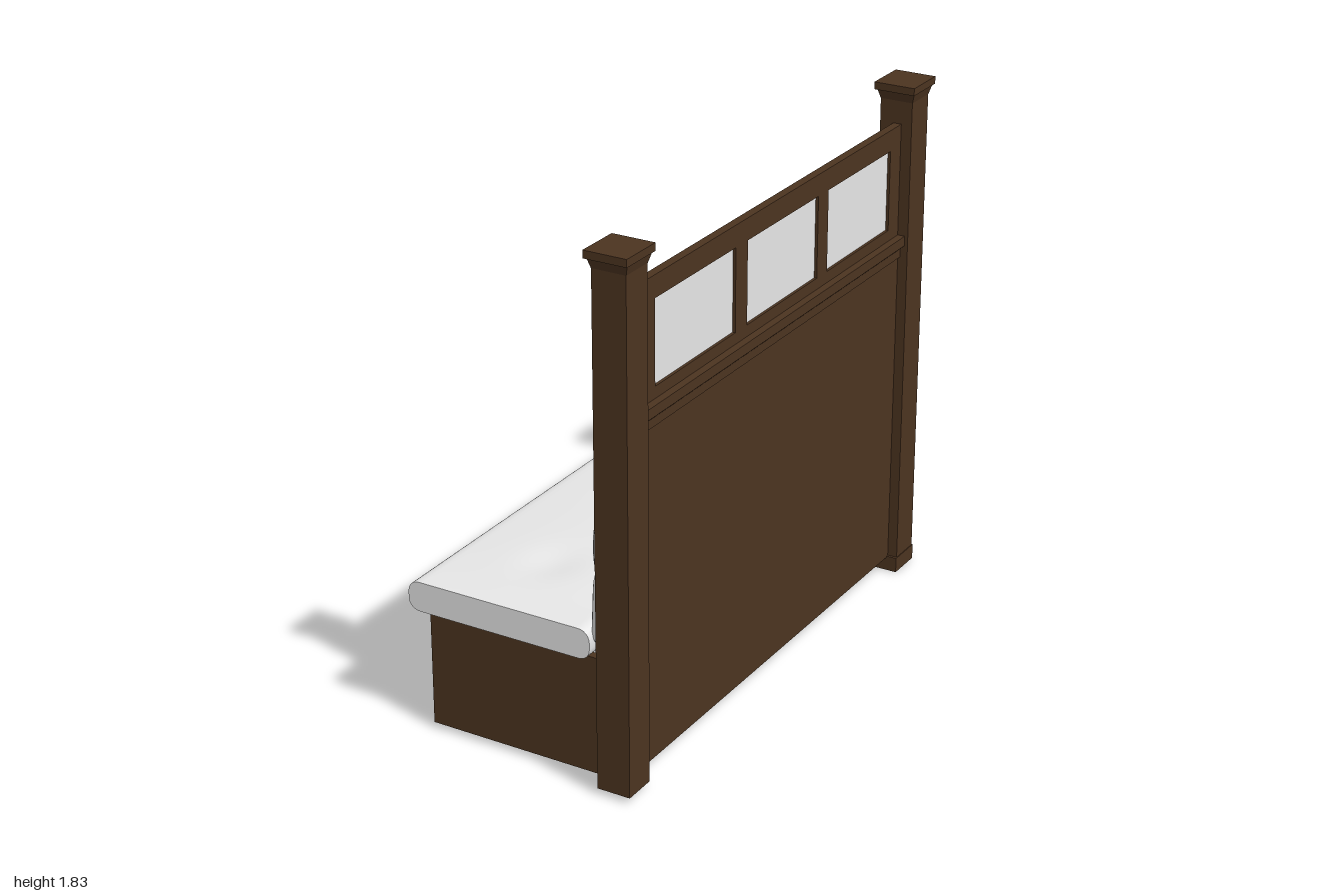
import * as THREE from 'three';
import { mergeVertices } from 'three/addons/utils/BufferGeometryUtils.js';

const wood = new THREE.MeshStandardMaterial({ color: 0x4c3420 });
wood.name = 'dark wood';
const fabric = new THREE.MeshStandardMaterial({ color: 0xe8e8e8, side: THREE.DoubleSide });
fabric.name = 'pale upholstery';
const glass = new THREE.MeshStandardMaterial({ color: 0xe8e8e8, side: THREE.DoubleSide });
glass.name = 'frosted glass';

export function createModel() {
  const model = new THREE.Group();
  model.name = 'boothBench';

  const add = (name, geo, mat = wood) => {
    const mesh = new THREE.Mesh(geo, mat);
    mesh.name = name;
    model.add(mesh);
    return mesh;
  };
  // Box given by its limits on each axis
  const box = (name, x0, x1, y0, y1, z0, z1, mat) =>
    add(name, new THREE.BoxGeometry(x1 - x0, y1 - y0, z1 - z0), mat)
      .position.set((x0 + x1) / 2, (y0 + y1) / 2, (z0 + z1) / 2);
  const extrude = (shape, depth) => new THREE.ExtrudeGeometry(shape, { depth, bevelEnabled: false });
  const rect = (path, a, b, c, d) => {
    path.moveTo(a, c); path.lineTo(b, c); path.lineTo(b, d); path.lineTo(a, d); path.closePath();
    return path;
  };

  // Posts with flared square caps
  const flare = new THREE.CylinderGeometry(0.07 * Math.SQRT2, 0.06 * Math.SQRT2, 0.035, 4, 1)
    .rotateY(Math.PI / 4).toNonIndexed();
  flare.computeVertexNormals();
  for (const s of [-1, 1]) {
    box('post', 0.305, 0.424, s < 0 ? 0 : 0.02, 1.79, s * 0.92 - 0.06, s * 0.92 + 0.06);
    add('capFlare', flare).position.set(0.3645, 1.788, s * 0.92);
    box('capTop', 0.289, 0.439, 1.804, 1.83, s * 0.92 - 0.08, s * 0.92 + 0.08);
  }
  box('postPlinth', 0.298, 0.427, 0, 0.055, -0.983, -0.85);

  // Tall back panel with a coved ledge moulding above it
  box('backPanel', 0.315, 0.388, 0.05, 1.215, -0.865, 0.865);
  const ledge = new THREE.Shape([
    [0.31, 1.21], [0.396, 1.21], [0.396, 1.24], [0.412, 1.255], [0.412, 1.29], [0.31, 1.29],
  ].map(([x, y]) => new THREE.Vector2(x, y)));
  add('ledge', extrude(ledge, 1.73)).position.z = -0.865;

  // Window frame with three panes, outlined in (z, y)
  const panes = [[0.27, 0.755], [-0.27, 0.195], [-0.785, -0.34]];
  const frame = rect(new THREE.Shape(), -0.865, 0.845, 1.29, 1.69);
  for (const [a, b] of panes) frame.holes.push(rect(new THREE.Path(), a, b, 1.33, 1.615));
  add('windowFrame', extrude(frame, 0.03).rotateY(-Math.PI / 2)).position.x = 0.385;
  for (const [a, b] of panes) box('windowPane', 0.369, 0.375, 1.325, 1.62, a - 0.005, b + 0.005, glass);

  // Plain end panel
  box('plainEndPanel', -0.37, 0.31, 0.02, 0.435, 0.875, 0.905);

  // Panelled end with plinth, top rail and raised field
  box('panelledEnd', -0.37, 0.31, 0.02, 0.45, -0.947, -0.912);
  box('endPlinth', -0.4, 0.31, 0, 0.075, -0.963, -0.905);
  box('endPlinthTrim', -0.388, 0.31, 0.075, 0.1, -0.956, -0.91);
  box('endRailNeck', -0.39, 0.31, 0.405, 0.425, -0.953, -0.912);
  box('endRail', -0.4, 0.31, 0.425, 0.46, -0.96, -0.9);
  const nose = new THREE.CylinderGeometry(0.032, 0.032, 0.045, 16).rotateX(Math.PI / 2);
  add('endRailNose', nose).position.set(-0.4, 0.44, -0.926);
  const trim = rect(new THREE.Shape(), -0.29, 0.24, 0.135, 0.375);
  trim.holes.push(rect(new THREE.Path(), -0.272, 0.222, 0.153, 0.357));
  add('endFieldTrim', extrude(trim, 0.008)).position.z = -0.953;
  box('endField', -0.24, 0.19, 0.18, 0.33, -0.95, -0.946);

  // Seat cushion: hollow underneath, rounded along its length, square at the ends
  let seat = new THREE.BoxGeometry(0.685, 0.105, 1.845, 40, 8, 96);
  const under = seat.groups[3];
  seat.setIndex(Array.from(seat.index.array)
    .filter((_, i) => i < under.start || i >= under.start + under.count));
  seat.clearGroups();
  seat.deleteAttribute('uv');
  seat = mergeVertices(seat);
  const r = 0.04, ix = 0.3425 - r, iy = 0.0525 - r;
  const sp = seat.attributes.position, p = new THREE.Vector2(), q = new THREE.Vector2();
  for (let i = 0; i < sp.count; i++) {
    const z = sp.getZ(i);
    p.set(sp.getX(i), sp.getY(i));
    q.set(THREE.MathUtils.clamp(p.x, -ix, ix), THREE.MathUtils.clamp(p.y, -iy, iy));
    p.sub(q);
    // Only pull in what sticks out past the rounded profile
    if (p.length() > r) p.setLength(r);
    p.add(q);
    if (p.y > 0.03) {
      p.y += 0.014 * Math.cos(Math.PI * p.x / 0.685) * (1 - (z / 0.9225) ** 4);
      for (const c of [-0.6, 0.04, 0.6])
        p.y -= 0.012 * Math.exp(-(p.x ** 2 / 0.008 + (z - c) ** 2 / 0.012));
    }
    sp.setXYZ(i, p.x, p.y, z);
  }
  seat.computeVertexNormals();
  add('seatCushion', seat, fabric).position.set(-0.0975, 0.481, 0);

  // Tufted back cushion: diamonds in the middle, fluted channels above and below
  const pitch = 0.235, rowTop = 1.0, rowGap = 0.17, yLow = 0.47, yHigh = 1.165;
  const backX = (y, z) => {
    const u = z / pitch;
    const v = THREE.MathUtils.clamp((y - rowTop) / (2 * rowGap), -1, 0);
    const puff = Math.abs(Math.sin(Math.PI * (u + v)) * Math.sin(Math.PI * (u - v))) ** 0.32;
    const lean = THREE.MathUtils.lerp(0.22, 0.25, (y - yLow) / (yHigh - yLow));
    return lean + 0.035 * (1 - puff);
  };
  const back = new THREE.PlaneGeometry(1.82, 1, 232, 80).rotateY(-Math.PI / 2);
  const bp = back.attributes.position;
  const arc = (e) => Math.sqrt(Math.max(0, 1 - (1 - Math.min(e, 1)) ** 2));
  for (let i = 0; i < bp.count; i++) {
    const t = bp.getY(i) + 0.5, z = bp.getZ(i);
    const scallop = 0.03 * (1 - Math.abs(Math.sin(Math.PI * z / pitch)) ** 0.4);
    const y = yLow + t * (yHigh - yLow - scallop * t ** 6);
    // Round the outline back towards the panel, less at the ends
    const side = THREE.MathUtils.lerp(0.282, backX(y, z), arc((0.91 - Math.abs(z)) / 0.03));
    bp.setXYZ(i, THREE.MathUtils.lerp(0.308, side, arc(Math.min((1 - t) / 0.1, t / 0.05))), y, z);
  }
  back.computeVertexNormals();
  add('backCushion', back, fabric);

  // Buttons in staggered rows
  const button = new THREE.SphereGeometry(0.011, 10, 6).scale(0.5, 1, 1);
  for (let row = 0; row < 3; row++) {
    const shift = row % 2 ? 0.5 : 0;
    for (let k = -4; k <= 3; k++) {
      const z = (k + shift) * pitch, y = rowTop - row * rowGap;
      if (Math.abs(z) < 0.86) add('button', button, fabric).position.set(backX(y, z), y, z);
    }
  }

  // Wooden backing and corner block behind the cushion
  box('cushionBacking', 0.3, 0.318, 0.47, 1.13, -0.9, 0.9);
  box('cushionCornerBlock', 0.28, 0.318, 1.13, 1.17, -0.875, -0.85);

  return model;
}
